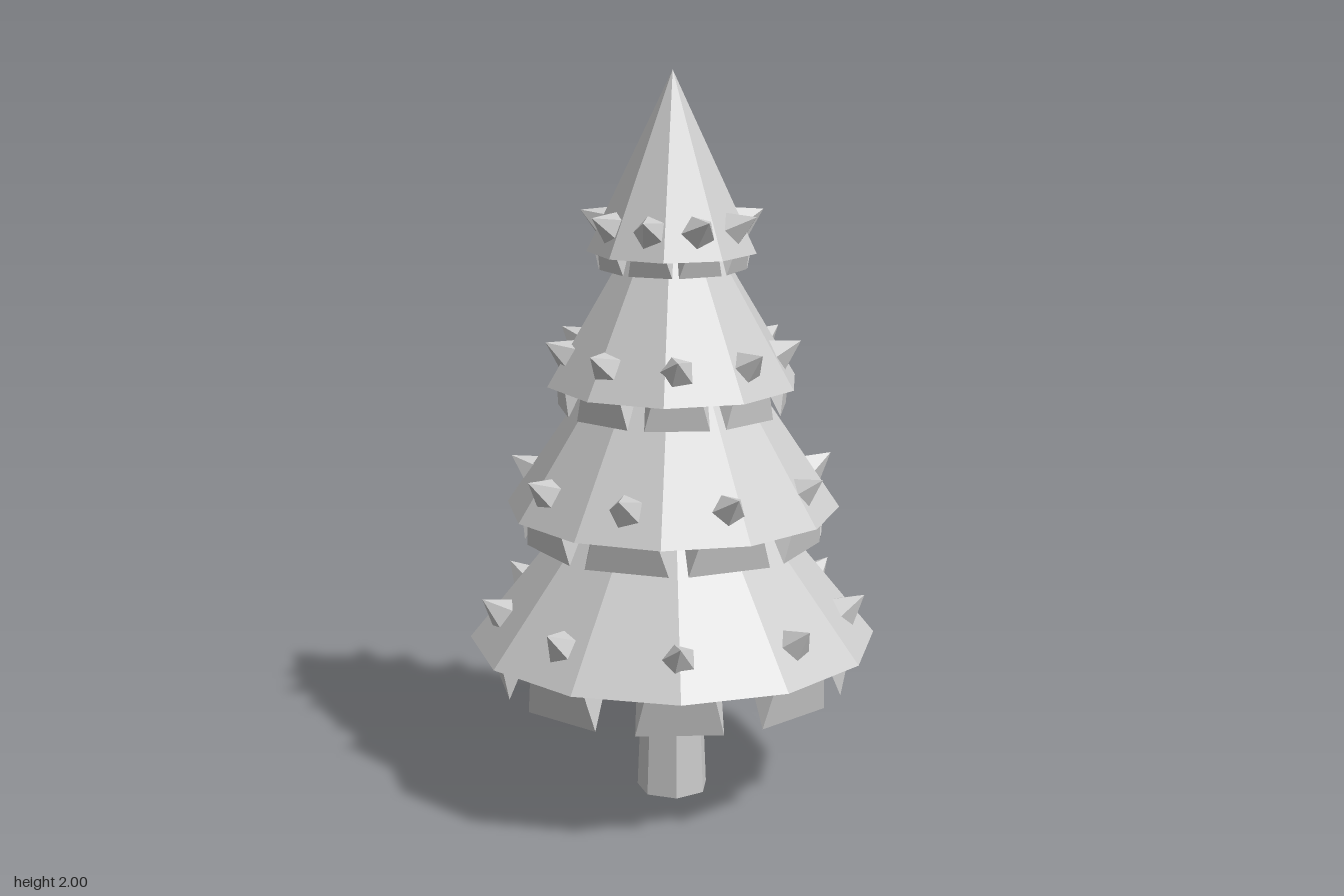
import * as THREE from 'three';

const rad = THREE.MathUtils.degToRad;
const SPIKES = 9;

// y: rim height, r: rim radius, top: cone tip, sides/turn: polygon and its rotation,
// start: angle of the first spike, spikeY: spike height, bough: [tip y, tip radius, half width]
const TIERS = [
  { y: 0.45, r: 0.56, top: 1.14, sides: 12, turn: 0, start: 0, spikeY: 0.545, bough: [0.335, 0.475, 0.115] },
  { y: 0.825, r: 0.455, top: 1.5, sides: 12, turn: 6, start: 20, spikeY: 0.91, bough: [0.74, 0.39, 0.115] },
  { y: 1.17, r: 0.345, top: 1.745, sides: 10, turn: 18, start: 0, spikeY: 1.255, bough: [1.1, 0.3, 0.085] },
  { y: 1.525, r: 0.23, top: 2.0, sides: 9, turn: 8, start: 20, spikeY: 1.6, bough: [1.48, 0.19, 0.06] },
];

// Wedge hanging under the rim: wide sharp lower edge, outer and inner faces above it
function boughGeometry(tier) {
  const [tipY, tipR, w] = tier.bough;
  const topY = tier.y + 0.01;
  const p = [
    [tipR, tipY, -w], [tipR, tipY, w],
    [tier.r * 0.89, topY, -w * 0.75], [tier.r * 0.89, topY, w * 0.75],
    [tier.r * 0.75, topY, -w * 0.95], [tier.r * 0.75, topY, w * 0.95],
  ].flat();
  const geometry = new THREE.BufferGeometry();
  geometry.setAttribute('position', new THREE.Float32BufferAttribute(p, 3));
  geometry.setIndex([
    0, 2, 3, 0, 3, 1, // outer
    0, 1, 5, 0, 5, 4, // inner
    0, 4, 2, 1, 3, 5, // ends
    2, 4, 5, 2, 5, 3, // top
  ]);
  const flat = geometry.toNonIndexed();
  flat.computeVertexNormals();
  return flat;
}

export function createModel() {
  const model = new THREE.Group();
  model.name = 'spikyTree';
  const grey = new THREE.MeshStandardMaterial({ color: 0xcccccc, flatShading: true });
  grey.name = 'light grey';

  const add = (parent, name, geometry) => {
    const mesh = new THREE.Mesh(geometry, grey);
    mesh.name = name;
    parent.add(mesh);
    return mesh;
  };

  // Trunk
  const trunk = add(model, 'trunk', new THREE.CylinderGeometry(0.08, 0.1, 0.47, 7));
  trunk.position.y = 0.235;
  trunk.rotation.y = Math.PI;

  // Five-sided spike, base slightly sunk into the foliage
  const spike = new THREE.ConeGeometry(0.05, 0.078, 5);
  spike.translate(0, 0.027, 0);

  TIERS.forEach((tier, i) => {
    const group = new THREE.Group();
    group.name = `tier${i + 1}`;
    model.add(group);

    // Foliage cone
    const height = tier.top - tier.y;
    const cone = new THREE.ConeGeometry(tier.r, height, tier.sides);
    cone.rotateY(Math.PI / 2 - rad(tier.turn));
    add(group, 'foliage', cone).position.y = tier.y + height / 2;

    // Spikes on the cone and boughs below the rim
    const bough = boughGeometry(tier);
    const spikeR = tier.r * (tier.top - tier.spikeY) / height;
    const tilt = Math.atan2(tier.r, height);
    for (let k = 0; k < SPIKES; k++) {
      const arm = new THREE.Group();
      arm.name = 'branch';
      arm.rotation.y = -rad(tier.start + k * 360 / SPIKES);
      group.add(arm);
      const thorn = add(arm, 'spike', spike);
      thorn.position.set(spikeR - 0.005, tier.spikeY, 0);
      thorn.rotation.z = tilt - Math.PI / 2;
      add(arm, 'bough', bough);
    }
  });
  return model;
}
